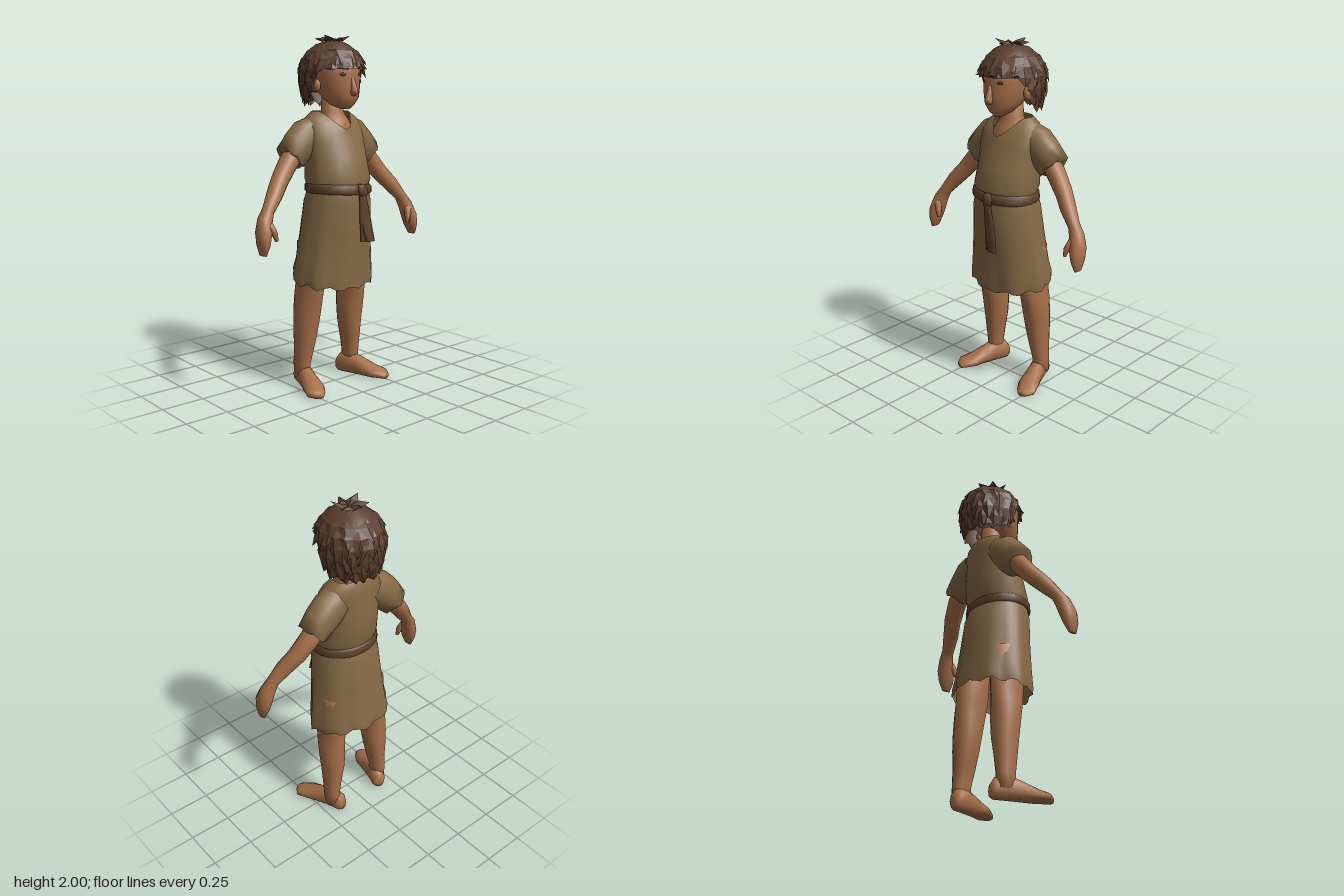
import * as THREE from 'three';

const mat = (name, color, side = THREE.FrontSide) => {
  const m = new THREE.MeshStandardMaterial({ color, side });
  m.name = name;
  return m;
};
const X = new THREE.Vector3(1, 0, 0), Y = new THREE.Vector3(0, 1, 0), Z = new THREE.Vector3(0, 0, 1);

// Skins elliptical sections [x, y, z, a, b]; axes 'flat' (level rings), 'upright' (rings facing z) or 'path'.
function loft(sections, { seg = 12, axes = 'flat', caps = true, shape } = {}) {
  const pos = [], idx = [], n = sections.length;
  const C = sections.map(s => new THREE.Vector3(s[0], s[1], s[2]));
  const u = new THREE.Vector3(), v = new THREE.Vector3();
  sections.forEach((s, i) => {
    u.copy(X);
    v.copy(axes === 'upright' ? Y : Z);
    if (axes === 'path') {
      const t = C[Math.min(i + 1, n - 1)].clone().sub(C[Math.max(i - 1, 0)]).setZ(0).normalize();
      u.set(-t.y, t.x, 0);
    }
    for (let j = 0; j < seg; j++) {
      const q = j / seg * Math.PI * 2;
      const p = C[i].clone().addScaledVector(u, s[3] * Math.cos(q)).addScaledVector(v, s[4] * Math.sin(q));
      if (shape) shape(p, q, i, C[i]);
      pos.push(p.x, p.y, p.z);
    }
  });
  const forward = u.clone().cross(v).dot(C[n - 1].clone().sub(C[0])) > 0;
  const face = (a, b, c) => forward ? idx.push(a, b, c) : idx.push(a, c, b);
  for (let i = 0; i < n - 1; i++) for (let j = 0; j < seg; j++) {
    const a = i * seg + j, b = i * seg + (j + 1) % seg;
    face(a, b, a + seg);
    face(b, b + seg, a + seg);
  }
  if (caps) {
    const k = n * seg, last = (n - 1) * seg;
    pos.push(...C[0].toArray(), ...C[n - 1].toArray());
    for (let j = 0; j < seg; j++) {
      const j2 = (j + 1) % seg;
      face(k, j2, j);
      face(k + 1, last + j, last + j2);
    }
  }
  const g = new THREE.BufferGeometry();
  g.setAttribute('position', new THREE.Float32BufferAttribute(pos, 3));
  g.setIndex(idx);
  g.computeVertexNormals();
  return g;
}

let seed = 7;
const rnd = () => (seed = (seed * 16807) % 2147483647) / 2147483647;

// Hair outline: lower edge by angle, and a point on the scalp shell
const hairHem = q => 1.63 + 0.205 * THREE.MathUtils.smoothstep(Math.sin(q), -0.2, 0.68);
function hairPoint(q, y, lift = 1) {
  const r = y > 1.8 ? Math.sqrt(Math.max(0, 1 - ((y - 1.8) / 0.178) ** 2)) : 1 - 0.5 * ((1.8 - y) / 0.3) ** 2;
  return new THREE.Vector3(0.175 * r * lift * Math.cos(q), y, -0.025 + 0.19 * r * lift * Math.sin(q));
}

function hairLocks() {
  const pos = [];
  const lock = (U, L, R, M, T) => [[U, M, L], [L, M, T], [T, M, R], [R, M, U]].forEach(f =>
    f.forEach(p => pos.push(p.x, p.y, p.z)));
  const rows = [[1.945, 9], [1.9, 13], [1.845, 16], [1.78, 17], [1.72, 17], [1.675, 17]];
  rows.forEach(([y0, count], row) => {
    for (let k = 0; k < count; k++) {
      const q = (k + (row % 2) / 2 + 0.4 * (rnd() - 0.5)) / count * Math.PI * 2;
      const len = 0.08 + 0.05 * rnd(), swing = 0.3 * (rnd() - 0.5), w = 3.6 / count;
      if (y0 < hairHem(q) + 0.01) continue;
      const mid = y0 - 0.03, tip = Math.max(y0 - len, hairHem(q) - 0.03 + 0.03 * rnd());
      lock(hairPoint(q, Math.min(y0 + 0.04, 1.972)), hairPoint(q + w, mid, 1.01), hairPoint(q - w, mid, 1.01),
        hairPoint(q, mid, 1.07), hairPoint(q + swing, tip, 1.08 + 0.05 * rnd()));
    }
  });
  // upturned crown tufts
  for (let k = 0; k < 6; k++) {
    const q = k * 1.05 + 0.3;
    const at = (a, r, y) => new THREE.Vector3(r * Math.cos(a), y, -0.02 + r * Math.sin(a));
    lock(at(q, 0.005, 1.975), at(q + 0.7, 0.06, 1.968), at(q - 0.7, 0.06, 1.968), at(q, 0.05, 1.99), at(q + 0.3, 0.1, k % 2 ? 1.985 : 2));
  }
  const g = new THREE.BufferGeometry();
  g.setAttribute('position', new THREE.Float32BufferAttribute(pos, 3));
  g.computeVertexNormals();
  return g;
}

export function createModel() {
  const root = new THREE.Group();
  root.name = 'child';
  const skin = mat('skin', 0xa87049);
  const cloth = mat('tunic cloth', 0x866a46, THREE.DoubleSide);
  const hair = mat('hair', 0x593e2d, THREE.DoubleSide);
  const leather = mat('belt leather', 0x5f4129, THREE.DoubleSide);
  const eye = mat('eye', 0x3c3628);
  const add = (name, geo, m) => {
    const mesh = new THREE.Mesh(geo, m);
    mesh.name = name;
    root.add(mesh);
    return mesh;
  };

  // Head, nose and neck
  add('head', loft([
    [0, 1.598, 0.09, 0.03, 0.025], [0, 1.62, 0.068, 0.062, 0.07], [0, 1.66, 0.05, 0.098, 0.108],
    [0, 1.72, 0.02, 0.122, 0.14], [0, 1.78, 0.009, 0.13, 0.149], [0, 1.85, 0.005, 0.135, 0.152], [0, 1.92, 0, 0.1, 0.11],
  ], { seg: 18 }), skin);
  add('nose', loft([
    [0, 1.77, 0.152, 0.01, 0.008], [0, 1.7, 0.165, 0.02, 0.024], [0, 1.682, 0.167, 0.022, 0.024], [0, 1.668, 0.155, 0.012, 0.01],
  ], { seg: 8 }), skin);
  add('neck', loft([
    [0, 1.4, -0.01, 0.14, 0.1], [0, 1.47, -0.005, 0.13, 0.097], [0, 1.53, -0.015, 0.1, 0.085],
    [0, 1.58, -0.022, 0.066, 0.065], [0, 1.7, -0.02, 0.06, 0.06],
  ], { seg: 14 }), skin);

  // Hair cap with ragged edge, then layered locks
  const levels = [0, 0.2, 0.4, 0.6, 0.8, 0.93, 1];
  add('hairCap', loft(levels.map(t => [0, 1.65 + 0.3 * t, -0.025, 0.1, 0.1]), {
    seg: 32, caps: false,
    shape: (p, q, i) => {
      const hem = hairHem(q) + (i ? 0 : 0.014 * Math.sin(q * 16 + 1));
      p.copy(hairPoint(q, THREE.MathUtils.lerp(hem, 1.978, levels[i])));
    },
  }), hair);
  add('hairLocks', hairLocks(), hair);

  // Tunic top with a V neckline
  const drop = [0, 0, 0, 0, 0.05, 0.08, 0.1], push = [0, 0, 0, 0, 0.02, 0.042, 0.068];
  add('tunicTop', loft([
    [0, 1.15, 0.028, 0.18, 0.15], [0, 1.205, 0.027, 0.196, 0.17], [0, 1.32, 0.005, 0.188, 0.16], [0, 1.42, -0.008, 0.195, 0.135],
    [0, 1.5, -0.022, 0.195, 0.118], [0, 1.55, -0.034, 0.168, 0.102], [0, 1.585, -0.04, 0.118, 0.08],
  ], {
    seg: 28, caps: false,
    shape: (p, q, i) => {
      const f = Math.max(0, Math.sin(q)) ** 4;
      p.y -= drop[i] * f;
      p.z += push[i] * f;
      if (i > 0 && i < 4) p.x *= 1 + 0.02 * Math.sin(q * 9 + i);
    },
  }), cloth);

  // Skirt with folds and a ragged hem
  const fold = [0, 0.01, 0.02, 0.03, 0.04, 0.05];
  add('tunicSkirt', loft([
    [0, 1.17, 0.03, 0.18, 0.155], [0, 1.08, 0.022, 0.2, 0.18], [0, 0.9, 0.005, 0.22, 0.182],
    [0, 0.75, -0.008, 0.24, 0.186], [0, 0.66, -0.016, 0.254, 0.192], [0, 0.618, -0.018, 0.25, 0.192],
  ], {
    seg: 40, caps: false,
    shape: (p, q, i, c) => {
      const k = 1 + fold[i] * (0.7 * Math.sin(q * 8 + 0.5) + 0.3 * Math.sin(q * 13));
      p.x *= k;
      p.z = c.z + (p.z - c.z) * k;
      if (i > 3) p.y += -0.025 * Math.sin(q) + 0.012 * Math.sin(q * 11 + 2);
    },
  }), cloth);

  // Belt, knot and hanging ends
  add('belt', loft([
    [0, 1.125, 0.03, 0.188, 0.168], [0, 1.135, 0.031, 0.2, 0.18], [0, 1.17, 0.031, 0.197, 0.178], [0, 1.182, 0.03, 0.184, 0.165],
  ], { seg: 28, caps: false, shape: p => { p.y -= 0.05 * p.x; } }), leather);
  add('beltKnot', loft([
    [0.02, 1.185, 0.205, 0.022, 0.012], [0.024, 1.16, 0.212, 0.036, 0.02], [0.028, 1.12, 0.212, 0.028, 0.016],
  ], { seg: 8 }), leather);
  add('beltLongEnd', loft([
    [0.02, 1.15, 0.21, 0.022, 0.012], [0.04, 1.04, 0.215, 0.032, 0.01], [0.055, 0.95, 0.217, 0.037, 0.01], [0.072, 0.86, 0.226, 0.034, 0.012],
  ], { seg: 8 }), leather);
  add('beltShortEnd', loft([
    [0.015, 1.14, 0.212, 0.016, 0.012], [0.022, 1, 0.21, 0.018, 0.012], [0.03, 0.86, 0.21, 0.02, 0.01],
  ], { seg: 6 }), leather);

  for (const [side, s] of [['left', 1], ['right', -1]]) {
    const flip = list => list.map(([x, ...rest]) => [x * s, ...rest]);

    // Face details
    const ear = add(side + 'Ear', new THREE.SphereGeometry(1, 10, 8), skin);
    ear.scale.set(0.02, 0.038, 0.028);
    ear.position.set(0.142 * s, 1.725, 0.01);
    ear.rotation.y = -0.3 * s;
    const e = add(side + 'Eye', new THREE.SphereGeometry(1, 10, 6), eye);
    e.scale.set(0.017, 0.009, 0.004);
    e.position.set(0.06 * s, 1.785, 0.141);
    e.rotation.y = 0.52 * s;

    // Sleeve
    add(side + 'Sleeve', loft(flip([
      [0.11, 1.475, -0.045, 0.09, 0.085], [0.165, 1.445, -0.05, 0.104, 0.088], [0.225, 1.39, -0.05, 0.1, 0.086],
      [0.282, 1.33, -0.05, 0.09, 0.084], [0.272, 1.34, -0.05, 0.062, 0.06],
    ]), {
      seg: 16, axes: 'path', caps: false,
      shape: (p, q, i) => { if (i === 3) p.y += 0.01 * Math.sin(q * 5); },
    }), cloth);

    // Arm and hand
    add(side + 'Arm', loft(flip([
      [0.2, 1.42, -0.05, 0.055, 0.055], [0.3, 1.3, -0.045, 0.055, 0.056], [0.37, 1.215, -0.025, 0.05, 0.052],
      [0.43, 1.145, 0.008, 0.046, 0.048], [0.493, 1.065, 0.035, 0.034, 0.036], [0.522, 1.015, 0.046, 0.042, 0.044],
      [0.542, 0.95, 0.06, 0.042, 0.056], [0.55, 0.89, 0.068, 0.03, 0.05], [0.556, 0.835, 0.073, 0.012, 0.028],
    ]), { axes: 'path' }), skin);
    add(side + 'Thumb', loft(flip([
      [0.52, 1, 0.075, 0.024, 0.024], [0.498, 0.955, 0.095, 0.018, 0.02], [0.487, 0.91, 0.102, 0.009, 0.011],
    ]), { seg: 8, axes: 'path' }), skin);

    // Leg and foot, toes turned out
    add(side + 'Leg', loft(flip([
      [0.14, 0.85, -0.03, 0.08, 0.1], [0.152, 0.62, -0.035, 0.068, 0.105], [0.16, 0.52, -0.045, 0.074, 0.095],
      [0.163, 0.43, -0.055, 0.077, 0.085], [0.167, 0.33, -0.063, 0.068, 0.078], [0.175, 0.23, -0.067, 0.056, 0.066],
      [0.185, 0.13, -0.075, 0.045, 0.056], [0.182, 0.05, -0.078, 0.044, 0.056],
    ]), { seg: 14 }), skin);
    const foot = add(side + 'Foot', loft([
      [0, 0.04, -0.082, 0.028, 0.035], [0, 0.05, -0.06, 0.045, 0.06], [0, 0.06, 0, 0.046, 0.075], [0, 0.046, 0.08, 0.05, 0.06],
      [0, 0.03, 0.17, 0.062, 0.038], [0.01 * s, 0.022, 0.225, 0.056, 0.028], [0, 0.016, 0.258, 0.028, 0.018],
    ], { axes: 'upright', shape: p => { p.y = Math.max(0, p.y); } }), skin);
    foot.position.set(0.175 * s, 0, -0.07);
    foot.rotation.y = 0.32 * s;
  }
  return root;
}
